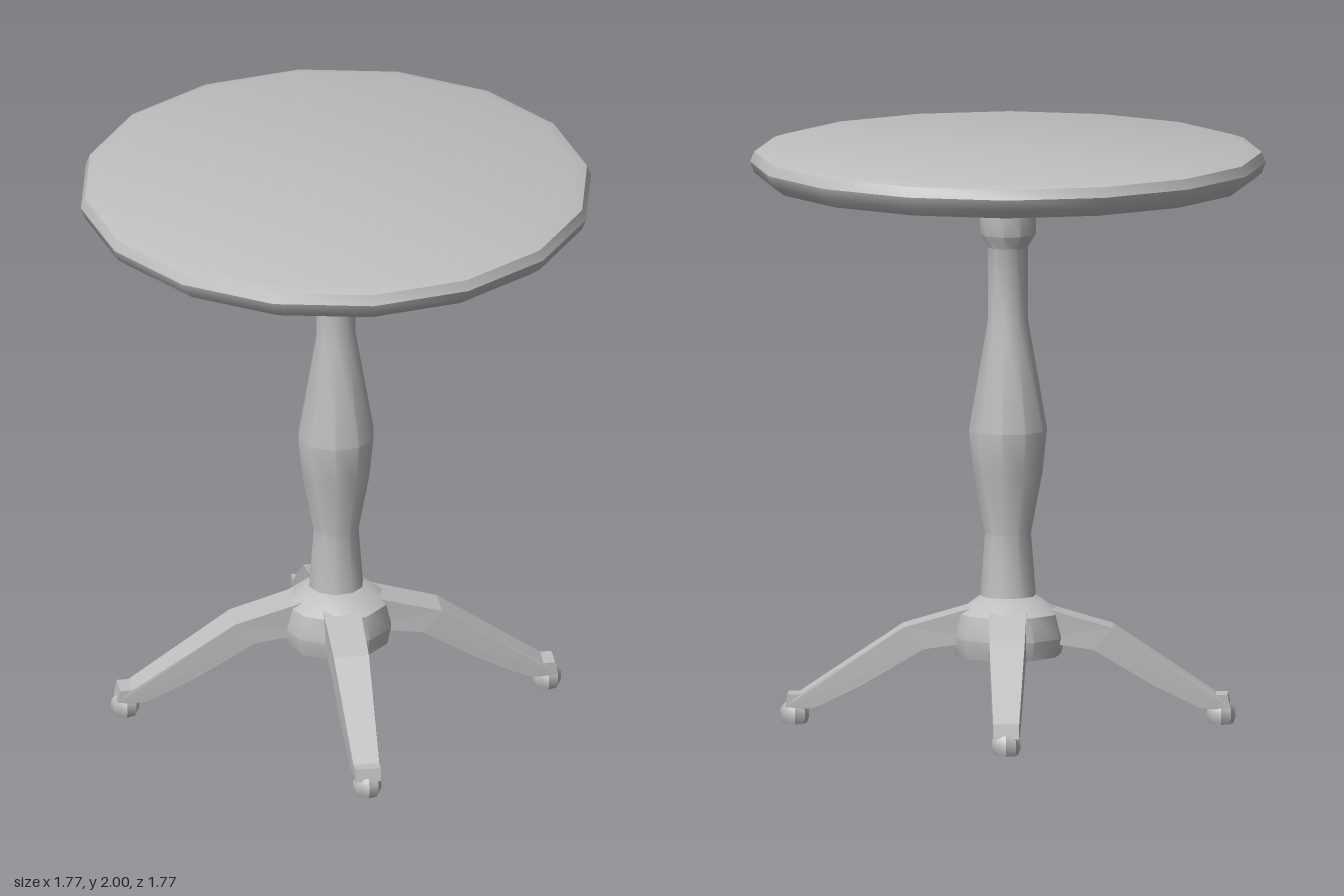
import * as THREE from 'three';
import { toCreasedNormals } from 'three/addons/utils/BufferGeometryUtils.js';

const grey = new THREE.MeshStandardMaterial({ color: 0xbfbfbf });
grey.name = 'plain grey';

function addMesh(parent, name, geometry) {
  const mesh = new THREE.Mesh(geometry, grey);
  mesh.name = name;
  parent.add(mesh);
  return mesh;
}

// Turned part: profile of [radius, height] from bottom to top
function turned(profile, sides, crease = 0.66) {
  const points = profile.map(([r, y]) => new THREE.Vector2(r, y));
  return toCreasedNormals(new THREE.LatheGeometry(points, sides, Math.PI / 2), crease);
}

// Side outline of a leg, extruded and narrowed towards the foot
function legGeometry() {
  const outline = [
    [0.04, 0.30], [0.17, 0.282], [0.29, 0.265], [0.50, 0.14], [0.66, 0.06], [0.70, 0.055],
    [0.765, 0.06], [0.755, 0.105], [0.715, 0.105], [0.56, 0.208], [0.36, 0.34], [0.16, 0.398], [0.04, 0.435],
  ].map(([s, y]) => new THREE.Vector2(s, y));
  const geometry = new THREE.ExtrudeGeometry(new THREE.Shape(outline), { depth: 1, bevelEnabled: false });
  geometry.translate(0, 0, -0.5);
  const p = geometry.attributes.position;
  for (let i = 0; i < p.count; i++) {
    const t = THREE.MathUtils.clamp((p.getX(i) - 0.3) / 0.43, 0, 1);
    p.setZ(i, p.getZ(i) * THREE.MathUtils.lerp(0.128, 0.088, t));
  }
  geometry.computeVertexNormals();
  return geometry;
}

export function createModel() {
  const model = new THREE.Group();
  model.name = 'pedestalTable';

  // Round top with a rounded rim
  addMesh(model, 'tableTop', turned([
    [0, 1.88], [0.83, 1.88], [0.872, 1.912], [0.886, 1.95], [0.872, 1.985], [0.825, 2], [0, 2],
  ], 16));

  // Collar under the top
  addMesh(model, 'collar', turned([
    [0, 1.78], [0.125, 1.78], [0.204, 1.812], [0.204, 1.885],
  ], 10));

  // Turned column
  addMesh(model, 'column', turned([
    [0.097, 0.44], [0.08, 0.66], [0.12, 0.87], [0.136, 1.02], [0.07, 1.40],
    [0.07, 1.655], [0.098, 1.70], [0.098, 1.785],
  ], 10));

  // Hub that the legs grow from
  addMesh(model, 'hub', turned([
    [0, 0.212], [0.185, 0.24], [0.2, 0.305], [0.18, 0.387], [0.098, 0.445], [0, 0.445],
  ], 10));

  // Four splayed legs on the diagonals, each with a small round foot
  const leg = legGeometry();
  const foot = turned([
    [0, 0], [0.041, 0], [0.049, 0.02], [0.049, 0.05], [0.036, 0.07], [0, 0.07],
  ], 8);
  for (let i = 0; i < 4; i++) {
    const arm = new THREE.Group();
    arm.name = 'legAssembly' + (i + 1);
    arm.rotation.y = Math.PI / 4 + i * Math.PI / 2;
    addMesh(arm, 'leg', leg);
    addMesh(arm, 'foot', foot).position.x = 0.732;
    model.add(arm);
  }
  return model;
}
